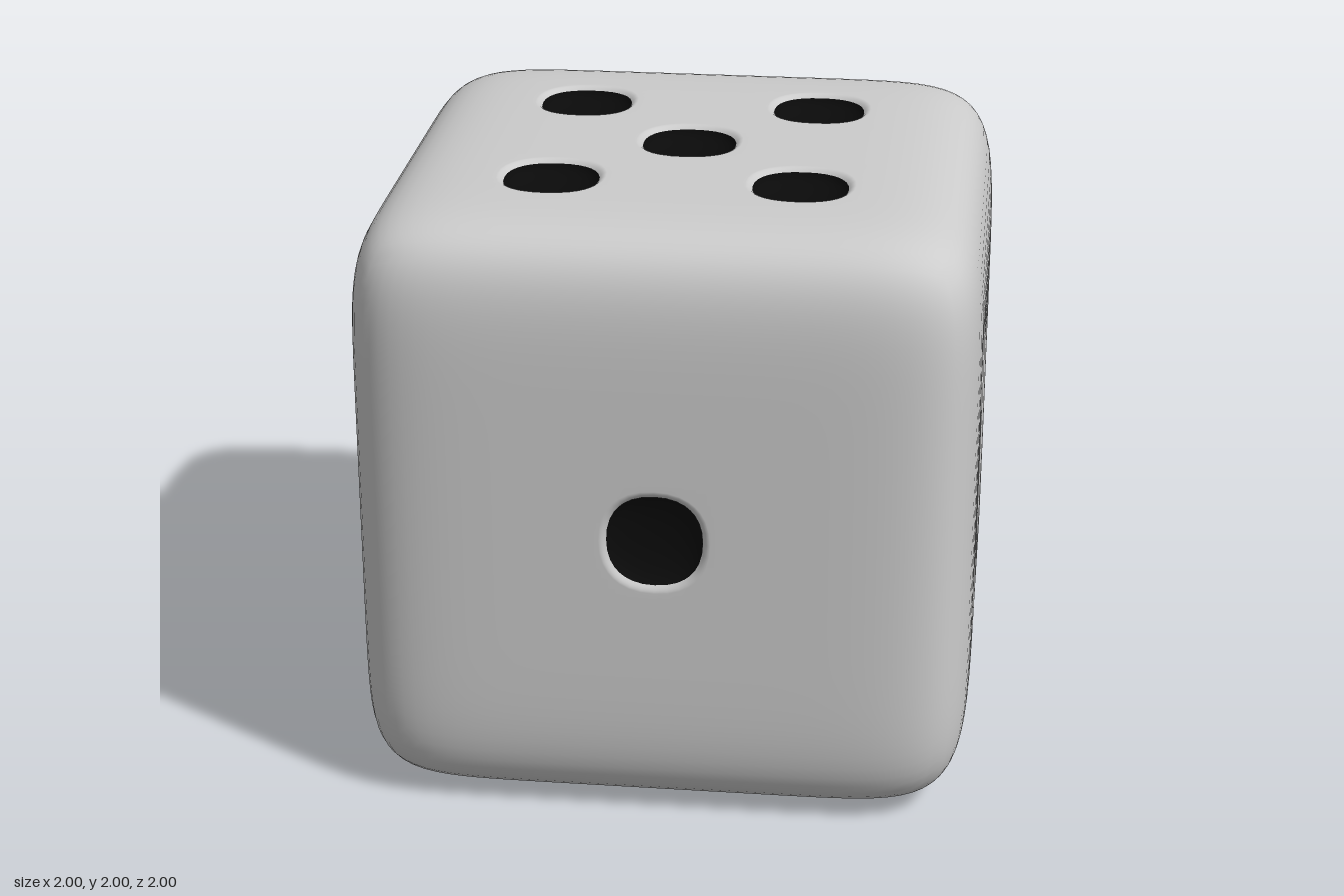
import * as THREE from 'three';
import { mergeVertices } from 'three/addons/utils/BufferGeometryUtils.js';

const CELL = 0.4;        // each face is a 5 x 5 grid of cells
const STEPS = 8;         // subdivisions along a cell side
const ROUNDNESS = 8.5;   // exponent of the rounded cube
const PIP_RADIUS = 0.153;
const LIP_DEPTH = 0.014;
const PIP_DEPTH = 0.07;

// n: outward normal, u and v: directions on the face (u x v = n), pips in cell steps
const FACES = [
  { name: 'front', n: [0, 0, 1], u: [1, 0, 0], v: [0, 1, 0], pips: [[0, 0]] },
  { name: 'back', n: [0, 0, -1], u: [-1, 0, 0], v: [0, 1, 0],
    pips: [[-1, 1], [0, 1], [1, 1], [-1, -1], [0, -1], [1, -1]] },
  { name: 'right', n: [1, 0, 0], u: [0, 0, -1], v: [0, 1, 0],
    pips: [[-1, 1], [1, 1], [-1, -1], [1, -1]] },
  { name: 'left', n: [-1, 0, 0], u: [0, 0, 1], v: [0, 1, 0],
    pips: [[-1, 1], [0, 0], [1, -1]] },
  { name: 'top', n: [0, 1, 0], u: [1, 0, 0], v: [0, 0, -1],
    pips: [[-1, 1], [1, 1], [0, 0], [-1, -1], [1, -1]] },
  { name: 'bottom', n: [0, -1, 0], u: [1, 0, 0], v: [0, 0, 1],
    pips: [[1, -1], [-1, 1]] },
];

const powerNorm = (values, e) =>
  Math.pow(values.reduce((sum, c) => sum + Math.pow(Math.abs(c), e), 0), 1 / e);

// Point of a face on the rounded cube, sunk inwards by depth
function surfacePoint(face, a, b, depth = 0) {
  const p = face.n.map((c, i) => c + face.u[i] * a + face.v[i] * b);
  const scale = 1 / powerNorm(p, ROUNDNESS);
  return p.map((c, i) => c * scale - face.n[i] * depth + (i === 1 ? 1 : 0));
}

// Adds a patch of quads to a list of triangle corners
function addPatch(out, columns, rows, point) {
  for (let i = 0; i < columns; i++) {
    for (let j = 0; j < rows; j++) {
      const a = point(i, j), b = point(i + 1, j);
      const c = point(i + 1, j + 1), d = point(i, j + 1);
      out.push(...a, ...b, ...c, ...a, ...c, ...d);
    }
  }
}

// Counter-clockwise walk around a square of half side 1
function squarePoint(i) {
  const side = Math.floor(i / STEPS) % 4;
  const t = (i % STEPS) / STEPS * 2 - 1;
  return [[1, t], [-t, 1], [-1, -t], [t, -1]][side];
}

// Slightly squarish circle through the same directions
function pipPoint(i, radius) {
  const q = squarePoint(i);
  const k = radius / powerNorm(q, 2.3);
  return [q[0] * k, q[1] * k];
}

function smoothMesh(name, positions, color) {
  let geometry = new THREE.BufferGeometry();
  geometry.setAttribute('position', new THREE.Float32BufferAttribute(positions, 3));
  geometry = mergeVertices(geometry, 1e-4);
  geometry.computeVertexNormals();
  const mesh = new THREE.Mesh(geometry, new THREE.MeshStandardMaterial({ color }));
  mesh.name = name;
  return mesh;
}

export function createModel() {
  const model = new THREE.Group();
  model.name = 'die';
  const body = [];

  for (const face of FACES) {
    const dishes = [];
    for (let cu = -2; cu <= 2; cu++) {
      for (let cv = -2; cv <= 2; cv++) {
        const x = cu * CELL, y = cv * CELL;

        // Plain cell of the face
        if (!face.pips.some(([pu, pv]) => pu === cu && pv === cv)) {
          addPatch(body, STEPS, STEPS, (i, j) => surfacePoint(face,
            x + (i / STEPS - 0.5) * CELL, y + (j / STEPS - 0.5) * CELL));
          continue;
        }

        // Square collar with a rounded lip that rolls into the pip
        addPatch(body, 4 * STEPS, 5, (i, j) => {
          if (j === 0) {
            const q = squarePoint(i);
            return surfacePoint(face, x + q[0] * CELL / 2, y + q[1] * CELL / 2);
          }
          const t = (j - 1) / 4;
          const [a, b] = pipPoint(i, PIP_RADIUS + 0.024 * (1 - t));
          return surfacePoint(face, x + a, y + b, LIP_DEPTH * t * t);
        });

        // Dark concave dish
        addPatch(dishes, 4 * STEPS, 8, (i, j) => {
          const t = j / 8 * Math.PI / 2;
          const [a, b] = pipPoint(i, PIP_RADIUS * Math.cos(t));
          return surfacePoint(face, x + a, y + b,
            LIP_DEPTH + (PIP_DEPTH - LIP_DEPTH) * Math.sin(t));
        });
      }
    }
    model.add(smoothMesh(face.name + 'Pips', dishes, 0x0a0a0a));
  }

  model.add(smoothMesh('body', body, 0xcccccc));
  return model;
}
